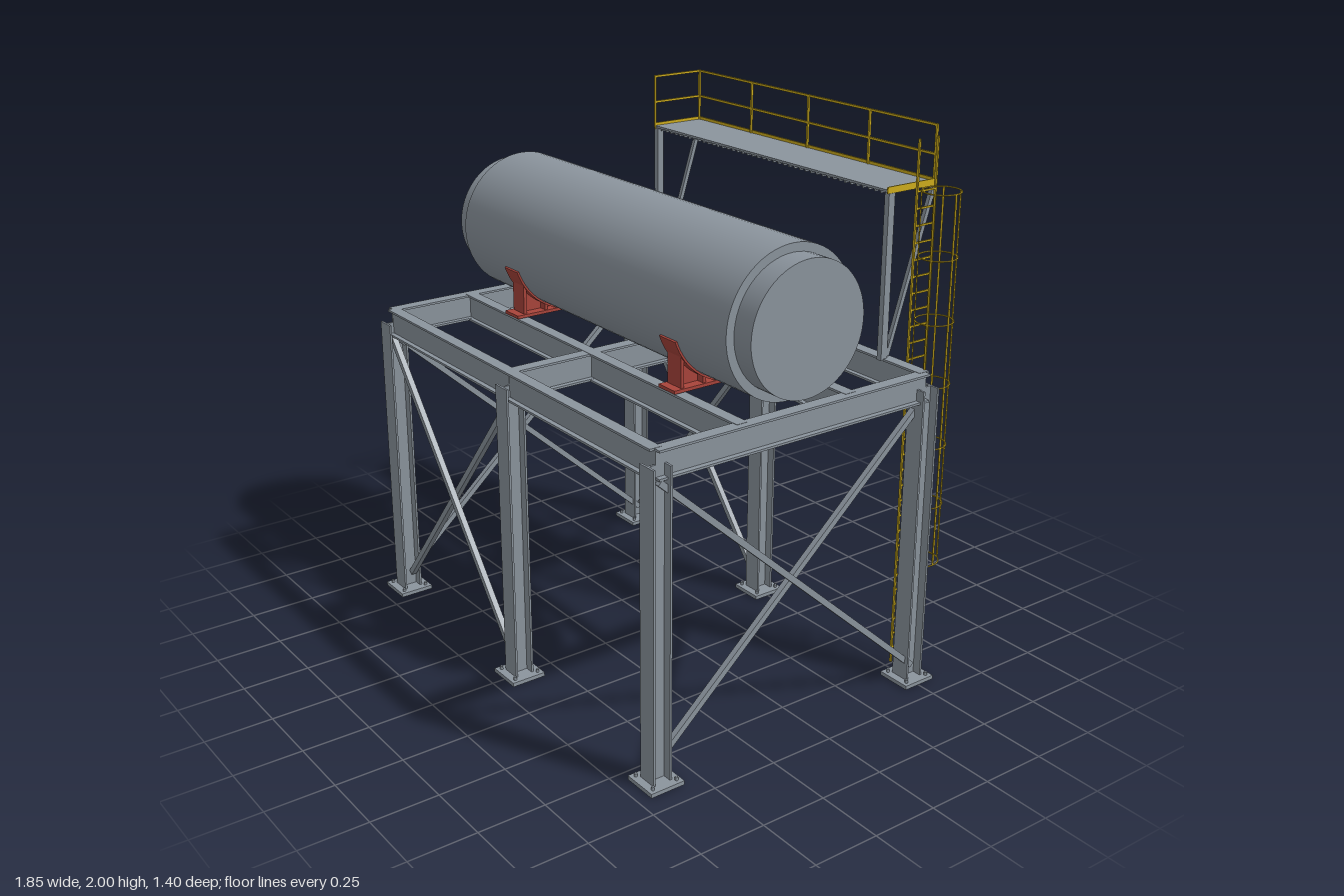
import * as THREE from 'three';

const mat = (name, color) => Object.assign(new THREE.MeshStandardMaterial({ color }), { name });

export function createModel() {
  const steel = mat('steel grey', 0x8b949d);
  const red = mat('saddle red', 0xa9443b);
  const yellow = mat('safety yellow', 0xcfae1c);
  const model = new THREE.Group();
  model.name = 'elevatedTank';

  const group = (name) => {
    const g = new THREE.Group();
    g.name = name;
    model.add(g);
    return g;
  };
  const add = (parent, name, geo, material, x = 0, y = 0, z = 0) => {
    const m = new THREE.Mesh(geo, material);
    m.name = name;
    m.position.set(x, y, z);
    parent.add(m);
    return m;
  };
  const box = (parent, name, material, w, h, d, x, y, z) =>
    add(parent, name, new THREE.BoxGeometry(w, h, d), material, x, y, z);

  // I-section running along z, centred, flanges at top and bottom
  const iSection = (length, w, h, flange, web) => {
    const a = w / 2, b = h / 2, c = b - flange, e = web / 2;
    const s = new THREE.Shape([[-a, -b], [a, -b], [a, -c], [e, -c], [e, c], [a, c],
      [a, b], [-a, b], [-a, c], [-e, c], [-e, -c], [-a, -c]].map(p => new THREE.Vector2(...p)));
    return new THREE.ExtrudeGeometry(s, { depth: length, bevelEnabled: false }).translate(0, 0, -length / 2);
  };
  // Square bar between two points
  const bar = (parent, name, material, p, q, t, t2 = t) => {
    const a = new THREE.Vector3(...p), b = new THREE.Vector3(...q);
    const m = box(parent, name, material, t, t2, a.distanceTo(b), 0, 0, 0);
    m.position.copy(a).add(b).multiplyScalar(0.5);
    m.lookAt(b);
    return m;
  };

  const colX = [-0.857, 0, 0.857], frontZ = 0.635, backZ = -0.505, midZ = (frontZ + backZ) / 2;

  // Columns with base plates and anchor bolts
  const columns = group('columns');
  const columnGeo = iSection(1.125, 0.074, 0.074, 0.008, 0.008).rotateX(-Math.PI / 2);
  const boltGeo = new THREE.CylinderGeometry(0.006, 0.006, 0.014, 8);
  for (const x of colX) for (const z of [frontZ, backZ]) {
    add(columns, 'column', columnGeo, steel, x, 0.5775, z);
    box(columns, 'basePlate', steel, 0.134, 0.015, 0.134, x, 0.0075, z);
    for (const i of [-1, 1]) for (const j of [-1, 1])
      add(columns, 'anchorBolt', boltGeo, steel, x + i * 0.048, 0.02, z + j * 0.048);
  }

  // Top frame: long beams, cross beams
  const frame = group('topFrame');
  const beamY = 1.142;
  const longGeo = iSection(1.71, 0.045, 0.105, 0.008, 0.008).rotateY(Math.PI / 2);
  for (const z of [frontZ, 0.295, -0.165, backZ]) add(frame, 'longBeam', longGeo, steel, 0, beamY, z);
  const crossGeo = iSection(1.15, 0.048, 0.103, 0.008, 0.008);
  for (const x of colX) add(frame, 'crossBeam', crossGeo, steel, x, beamY, midZ);

  // Cross bracing on both sides and on the front and back of one bay
  const braces = group('braces');
  for (const x of [colX[0], colX[2]]) for (const s of [-1, 1]) {
    bar(braces, 'sideBrace', steel, [x + s * 0.012, s > 0 ? 1.085 : 0.06, frontZ],
      [x + s * 0.012, s > 0 ? 0.06 : 1.085, backZ], 0.022);
  }
  for (const z of [frontZ, backZ]) for (const s of [-1, 1]) {
    bar(braces, 'bayBrace', steel, [colX[0] + 0.015, s > 0 ? 1.08 : 0.07, z + s * 0.012],
      [-0.015, s > 0 ? 0.07 : 1.08, z + s * 0.012], 0.022);
  }

  // Tank: main shell with narrower end sections
  const tank = group('tank');
  const tankY = 1.471, tankZ = 0.065, R = 0.266;
  const drum = (r, len) => new THREE.CylinderGeometry(r, r, len, 64).rotateZ(Math.PI / 2);
  add(tank, 'tankShell', drum(R, 1.62), steel, 0, tankY, tankZ);
  add(tank, 'tankEnds', drum(0.235, 1.79), steel, 0, tankY, tankZ);

  // Saddles: base, curved wear plate, web and stiffening ribs
  const extrudeX = (shape, depth) =>
    new THREE.ExtrudeGeometry(shape, { depth, bevelEnabled: false, curveSegments: 32 })
      .translate(0, 0, -depth / 2).rotateY(Math.PI / 2);
  const a0 = Math.PI + 0.34, a1 = 2 * Math.PI - 0.34;
  const wear = new THREE.Shape();
  wear.absarc(0, 0, R + 0.007, a0, a1, false);
  wear.absarc(0, 0, R - 0.002, a1, a0, true);
  const half = 0.228, baseY = 1.211 - tankY;
  const edge = Math.acos(half / R);
  const web = new THREE.Shape();
  web.moveTo(-half, baseY);
  web.lineTo(half, baseY);
  web.absarc(0, 0, R, -edge, -Math.PI + edge, true);
  for (const x of [-0.493, 0.49]) {
    const saddle = group('saddle');
    saddle.position.set(x, tankY, tankZ);
    box(saddle, 'saddleBase', red, 0.09, 0.012, 0.52, 0, baseY - 0.006, 0);
    add(saddle, 'wearPlate', extrudeX(wear, 0.09), red);
    add(saddle, 'saddleWeb', extrudeX(web, 0.014), red);
    for (const z of [-0.222, -0.13, 0.13, 0.222]) {
      const top = -Math.sqrt(R * R - z * z);
      box(saddle, 'saddleRib', red, 0.075, top - baseY, 0.012, 0, (top + baseY) / 2, z);
    }
  }

  // Raised walkway on posts and diagonal struts
  const walkway = group('walkway');
  box(walkway, 'deck', steel, 1.336, 0.008, 0.225, 0, 1.796, -0.584);
  for (let i = 0; i < 45; i++)
    box(walkway, 'deckBar', steel, 0.006, 0.01, 0.22, -0.66 + i * 0.03, 1.788, -0.584);
  for (const x of [-0.663, 0.663]) {
    box(walkway, 'walkwayPost', steel, 0.022, 0.6, 0.028, x, 1.488, -0.487);
    bar(walkway, 'walkwayStrut', steel, [x, 1.2, -0.505], [x, 1.782, -0.69], 0.016);
    box(walkway, 'endToeBoard', yellow, 0.005, 0.024, 0.226, Math.sign(x) * 0.669, 1.799, -0.582);
  }
  box(walkway, 'backToeBoard', yellow, 1.34, 0.024, 0.006, 0, 1.799, -0.695);

  // Railing along the back and one end; the ladder end stays open
  const railing = group('railing');
  const railT = 0.008;
  for (const y of [1.996, 1.895]) {
    bar(railing, 'backRail', yellow, [-0.67, y, -0.691], [0.67, y, -0.691], railT);
    bar(railing, 'endRail', yellow, [-0.666, y, -0.691], [-0.666, y, -0.466], railT);
  }
  for (const x of [-0.666, -0.333, 0, 0.333, 0.666])
    box(railing, 'railPost', yellow, railT, 0.2, railT, x, 1.895, -0.691);
  box(railing, 'railPost', yellow, railT, 0.2, railT, -0.666, 1.895, -0.47);

  // Ladder with rungs
  const ladder = group('ladder');
  const ladderX = 0.741;
  for (const z of [-0.536, -0.622])
    box(ladder, 'ladderStile', yellow, 0.009, 1.98, 0.006, ladderX, 0.99, z);
  for (let y = 0.06; y < 1.82; y += 0.06)
    box(ladder, 'ladderRung', yellow, 0.006, 0.006, 0.086, ladderX, y, -0.579);

  // Safety cage: hoops joined by vertical straps
  const cage = group('ladderCage');
  cage.position.set(0.81, 0, -0.583);
  const hoopGeo = new THREE.TorusGeometry(0.067, 0.0028, 6, 32).rotateX(Math.PI / 2);
  for (let i = 0; i < 7; i++) add(cage, 'cageHoop', hoopGeo, yellow, 0, 0.442 + i * 0.228, 0);
  for (const deg of [-129, -65, 0, 65, 129]) {
    const a = deg * Math.PI / 180;
    const strap = box(cage, 'cageStrap', yellow, 0.004, 1.37, 0.007, 0.067 * Math.cos(a), 1.126, 0.067 * Math.sin(a));
    strap.rotation.y = -a;
  }
  return model;
}
